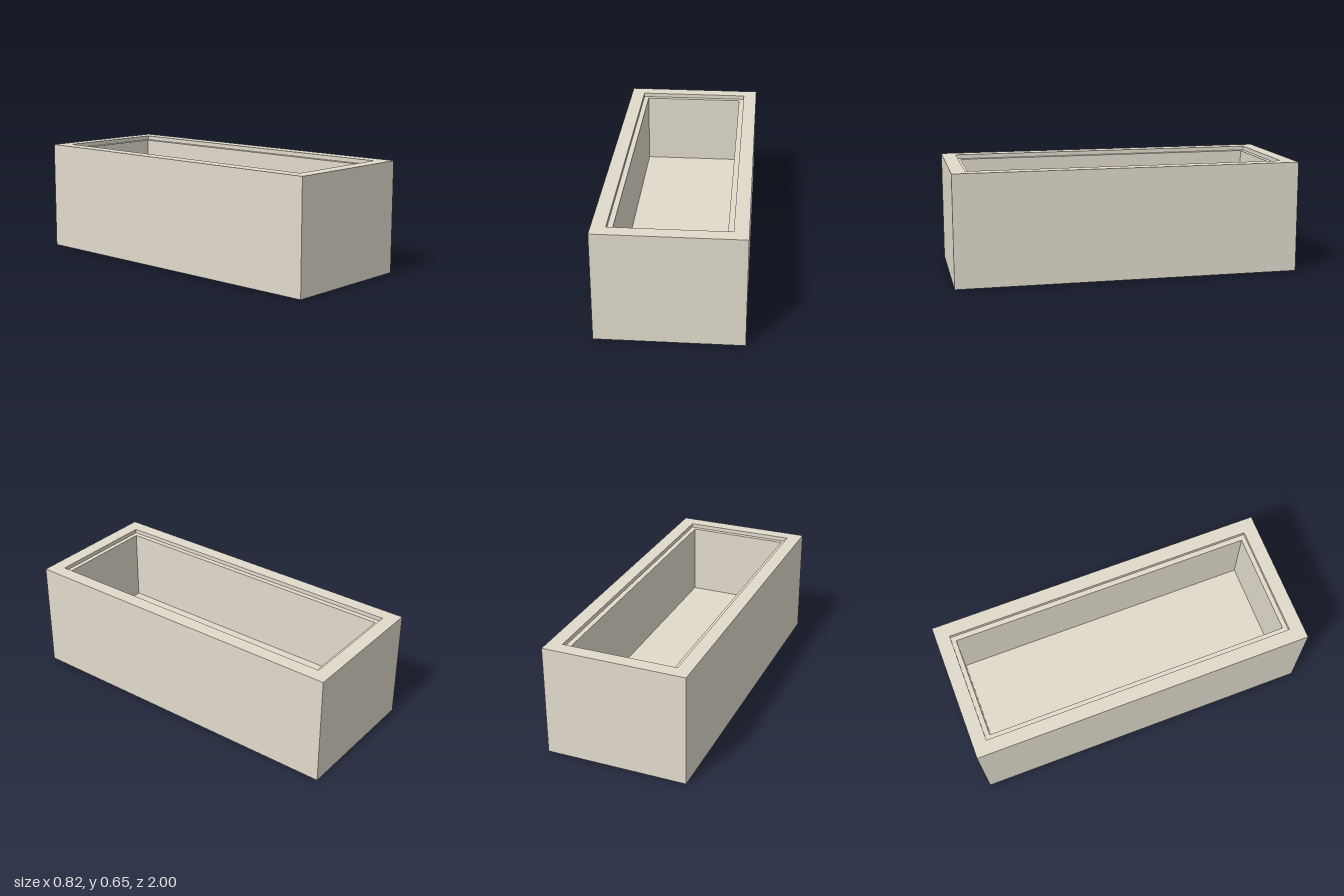
import * as THREE from 'three';

// Lofts rectangular loops [halfX, halfZ, y] into a closed, flat-faced shell.
// A loop of size zero closes the shell to a point.
function rectLoft(loops) {
  const corners = [[1, 1], [1, -1], [-1, -1], [-1, 1]];
  const pos = [];
  const point = ([hx, hz, y], i) => {
    const [sx, sz] = corners[i % 4];
    return [sx * hx, y, sz * hz];
  };
  for (let k = 0; k < loops.length - 1; k++) {
    const inner = loops[k], outer = loops[k + 1];
    for (let i = 0; i < 4; i++) {
      const a = point(inner, i), b = point(inner, i + 1);
      const c = point(outer, i + 1), d = point(outer, i);
      if (outer[0] > 0) pos.push(...a, ...d, ...c);
      if (inner[0] > 0) pos.push(...a, ...c, ...b);
    }
  }
  const geo = new THREE.BufferGeometry();
  geo.setAttribute('position', new THREE.Float32BufferAttribute(pos, 3));
  geo.computeVertexNormals();
  return geo;
}

export function createModel() {
  const model = new THREE.Group();
  model.name = 'planterBox';

  const stone = new THREE.MeshStandardMaterial({ color: 0xe1dbcc });
  stone.name = 'warm grey stone';

  const H = 0.647;             // overall height
  const T = 0.025;             // thickness of the shell
  const ledge = H - 0.024;
  const floor = 0.193;

  const box = new THREE.Mesh(rectLoft([
    [0, 0, floor],             // trough floor
    [0.3, 0.892, floor],       // trough walls
    [0.3, 0.892, ledge],       // ledge inside the rim
    [0.33, 0.919, ledge],
    [0.33, 0.919, H],          // top rim
    [0.411, 1, H],             // outer walls
    [0.411, 1, 0],             // bottom edge
    [0.411 - T, 1 - T, 0],     // hollow between outer walls and trough
    [0.411 - T, 1 - T, H - T],
    [0.33 + T, 0.919 + T, H - T],
    [0.33 + T, 0.919 + T, ledge - T],
    [0.3 + T, 0.892 + T, ledge - T],
    [0.3 + T, 0.892 + T, floor - T], // underside of the trough
    [0, 0, floor - T],
  ]), stone);
  box.name = 'troughShell';
  model.add(box);

  return model;
}
